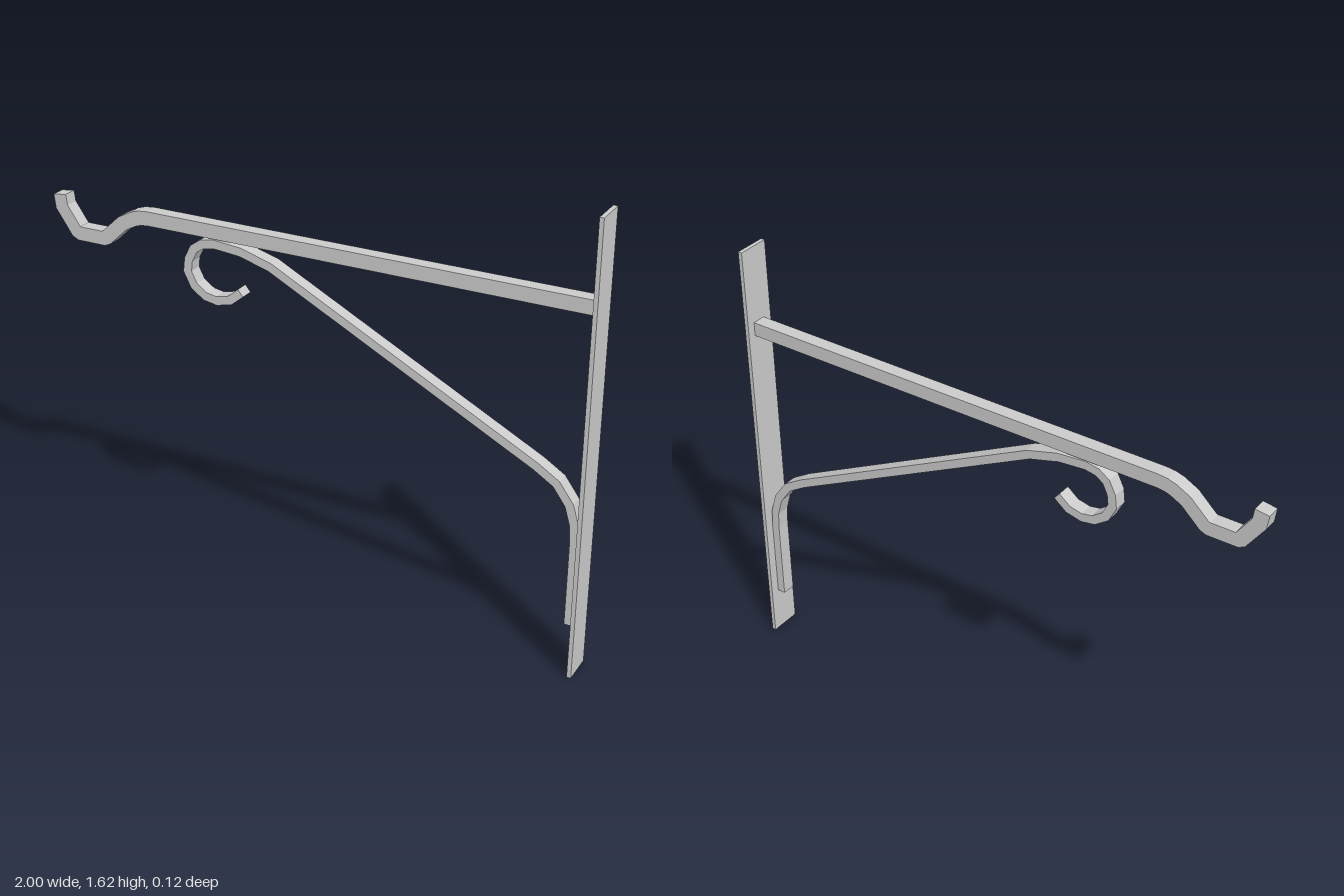
import * as THREE from 'three';

const material = new THREE.MeshStandardMaterial({ color: 0xcccccc, flatShading: true });

// Flat bar of constant width following a centre line in x/y, with mitred corners
function bentBar(name, points, width, zBack, zFront) {
  const path = points.map(([x, y]) => new THREE.Vector2(x, y));
  const upper = [], lower = [];
  path.forEach((p, i) => {
    const before = p.clone().sub(path[Math.max(i - 1, 0)]).normalize();
    const after = path[Math.min(i + 1, path.length - 1)].clone().sub(p).normalize();
    const dir = before.clone().add(after).normalize();
    const cosHalf = dir.dot(i ? before : after);
    const offset = new THREE.Vector2(-dir.y, dir.x).multiplyScalar(width / 2 / cosHalf);
    upper.push(p.clone().add(offset));
    lower.push(p.clone().sub(offset));
  });
  const shape = new THREE.Shape([...lower, ...upper.reverse()]);
  const geometry = new THREE.ExtrudeGeometry(shape, { depth: zFront - zBack, bevelEnabled: false });
  geometry.translate(0, 0, zBack);
  const mesh = new THREE.Mesh(geometry, material);
  mesh.name = name;
  return mesh;
}

export function createModel() {
  const group = new THREE.Group();
  group.name = 'wallBracket';

  // Upright strip fixed to the wall
  const plate = new THREE.Mesh(new THREE.BoxGeometry(0.015, 1.615, 0.117), material);
  plate.name = 'wallPlate';
  plate.position.set(0.9925, 0.8075, 0);
  group.add(plate);

  // Horizontal arm ending in an upturned hook
  group.add(bentBar('hookArm', [
    [-0.976, 1.337], [-0.970, 1.293], [-0.914, 1.212], [-0.902, 1.206],
    [-0.803, 1.206], [-0.789, 1.212], [-0.722, 1.275], [-0.676, 1.299],
    [-0.650, 1.307], [-0.618, 1.310], [0.986, 1.310],
  ], 0.051, -0.028, 0.022));

  // Diagonal brace: scroll at the top, straight run, curved foot along the plate
  group.add(bentBar('scrollBrace', [
    [-0.259, 1.110], [-0.302, 1.075], [-0.353, 1.063], [-0.398, 1.071],
    [-0.441, 1.102], [-0.465, 1.150], [-0.460, 1.193], [-0.439, 1.235],
    [-0.406, 1.258], [-0.361, 1.266], [-0.259, 1.257], [-0.147, 1.225],
    [0.821, 0.729], [0.893, 0.684], [0.941, 0.618], [0.962, 0.548],
    [0.966, 0.489], [0.966, 0.176],
  ], 0.031, -0.028, 0.022));

  return group;
}
